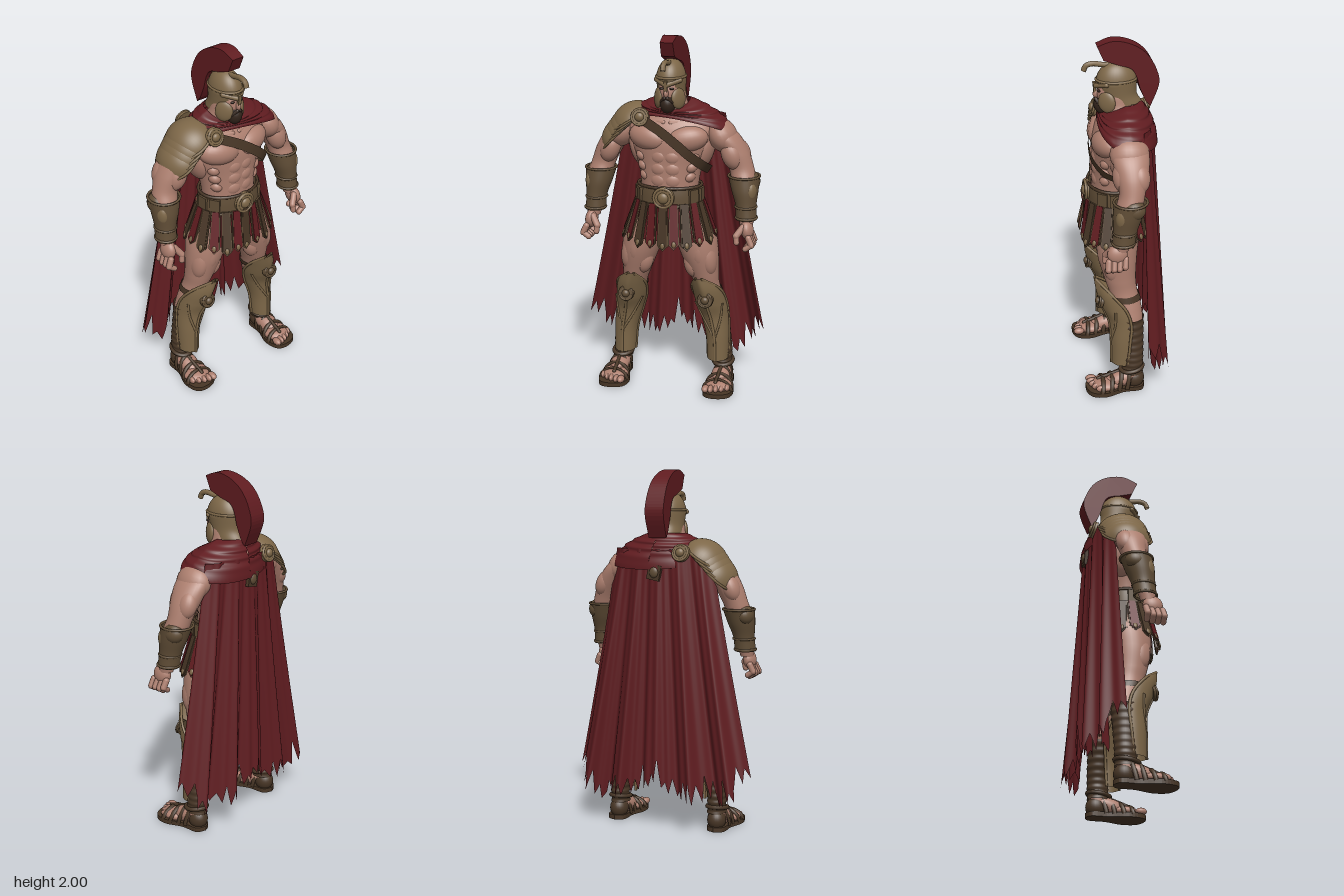
import * as THREE from 'three';
import { ParametricGeometry } from 'three/addons/geometries/ParametricGeometry.js';

const PI = Math.PI;
const mat = (name, color, side = THREE.DoubleSide) => {
  const m = new THREE.MeshStandardMaterial({ color, side });
  m.name = name;
  return m;
};
const rand = (i) => { const v = Math.sin(i * 12.9898) * 43758.5453; return v - Math.floor(v); };

export function createModel() {
  const root = new THREE.Group();
  const skin = mat('skin', 0xad7f6f, THREE.FrontSide), red = mat('crimson cloth', 0x601c20);
  const bronze = mat('bronze', 0x7d6748), darkBronze = mat('dark bronze', 0x604d36);
  const leather = mat('leather', 0x483626), hair = mat('dark hair', 0x33251c);

  const add = (name, geo, m, pos = [0, 0, 0], rot = [0, 0, 0], scale = [1, 1, 1], parent = root) => {
    const mesh = new THREE.Mesh(geo, m);
    mesh.name = name;
    mesh.position.set(...pos);
    mesh.rotation.set(...rot);
    mesh.scale.set(...scale);
    parent.add(mesh);
    return mesh;
  };
  const blob = (name, m, pos, r, rot) => add(name, new THREE.SphereGeometry(1, 24, 16), m, pos, rot, r);
  const surface = (name, m, fn, nu, nv) => add(name, new ParametricGeometry((u, v, t) => t.set(...fn(u, v)), nu, nv), m);
  // skin of elliptical sections [x, y, z, rx, rz, share of the arc], listed from bottom to top
  const loft = (name, m, rings, { arc = PI, mid = 0, shape = () => 1, nu = 32, nv = rings.length * 5 } = {}) => {
    const c = new THREE.CatmullRomCurve3(rings.map((r) => new THREE.Vector3(r[0], r[1], r[2])), false, 'catmullrom');
    const s = new THREE.CatmullRomCurve3(rings.map((r) => new THREE.Vector3(r[3], r[4], r[5] ?? 1)), false, 'catmullrom');
    return surface(name, m, (u, v) => {
      const p = c.getPoint(v), r = s.getPoint(v), a = mid + arc * (2 * u - 1) * r.z, k = shape(a, v);
      return [p.x + Math.sin(a) * r.x * k, p.y, p.z + Math.cos(a) * r.y * k];
    }, nu, nv);
  };
  const capsule = (name, m, a, b, r) => {
    const p = new THREE.Vector3(...a), d = new THREE.Vector3(...b).sub(p), len = d.length();
    const mesh = add(name, new THREE.CapsuleGeometry(r, len, 5, 12), m, p.clone().addScaledVector(d, 0.5).toArray());
    mesh.quaternion.setFromUnitVectors(new THREE.Vector3(0, 1, 0), d.normalize());
  };
  const tube = (name, m, pts, r) => add(name, new THREE.TubeGeometry(
    new THREE.CatmullRomCurve3(pts.map((p) => new THREE.Vector3(...p))), 24, r, 8), m);
  // round badge facing along z
  const badge = (name, m, x, y, z, r, dir = 1, tilt = 0) => {
    add(name, new THREE.CylinderGeometry(r * 0.85, r, 0.025, 24), m, [x, y, z], [dir * PI / 2 - tilt, 0, 0]);
    add(name + 'Rim', new THREE.TorusGeometry(r * 0.85, r * 0.14, 8, 24), m, [x, y, z + dir * 0.008], [-tilt, 0, 0]);
    blob(name + 'Boss', m, [x, y, z + dir * 0.012], [r * 0.5, r * 0.5, 0.018]);
  };

  // torso and neck
  loft('torso', skin, [[0, 0.92, 0.03, 0.16, 0.11], [0, 1.05, 0.045, 0.165, 0.12], [0, 1.18, 0.045, 0.162, 0.118],
    [0, 1.3, 0.035, 0.184, 0.126], [0, 1.42, 0.025, 0.23, 0.135], [0, 1.5, 0.01, 0.245, 0.13],
    [0, 1.57, 0, 0.19, 0.1], [0, 1.62, 0.01, 0.1, 0.085], [0, 1.7, 0.025, 0.075, 0.075]], { nu: 40 });
  for (const s of [-1, 1]) {
    blob('pectoral', skin, [s * 0.108, 1.45, 0.1], [0.118, 0.074, 0.068], [0, s * 0.25, s * 0.15]);
    blob('lat', skin, [s * 0.185, 1.38, 0], [0.055, 0.12, 0.09], [0, 0, -s * 0.25]);
    blob('trapezius', skin, [s * 0.09, 1.575, 0.005], [0.12, 0.045, 0.08], [0, 0, -s * 0.45]);
    capsule('collarbone', skin, [s * 0.02, 1.535, 0.108], [s * 0.17, 1.545, 0.07], 0.014);
    [1.352, 1.285, 1.22].forEach((y) => blob('abdominal', skin, [s * 0.041, y, 0.143], [0.045, 0.04, 0.022], [0, s * 0.2, 0]));
    for (let i = 0; i < 3; i++)
      blob('oblique', skin, [s * (0.115 + i * 0.011), 1.24 + i * 0.055, 0.09], [0.042, 0.035, 0.045], [0, s * 0.5, s * 0.5]);

    // arm
    loft('arm', skin, [[0.44, 0.98, 0.07, 0.036, 0.042], [0.43, 1.12, 0.045, 0.055, 0.055], [0.412, 1.22, 0.02, 0.068, 0.07],
      [0.392, 1.29, 0.002, 0.07, 0.07], [0.352, 1.38, -0.005, 0.078, 0.088], [0.298, 1.465, -0.005, 0.076, 0.098],
      [0.245, 1.535, -0.01, 0.045, 0.065]].map((r) => [r[0] * s, ...r.slice(1)]));
    blob('deltoid', skin, [s * 0.285, 1.46, -0.002], [0.078, 0.098, 0.106], [0, 0, s * 0.5]);
    blob('biceps', skin, [s * 0.345, 1.365, 0.045], [0.056, 0.085, 0.055], [0, 0, s * 0.35]);
    blob('triceps', skin, [s * 0.382, 1.365, -0.04], [0.05, 0.08, 0.055], [0, 0, s * 0.4]);

    // bracer
    loft('bracer', darkBronze, [[0.435, 1.01, 0.055, 0.058, 0.062], [0.43, 1.09, 0.045, 0.058, 0.065],
      [0.42, 1.17, 0.03, 0.075, 0.08], [0.41, 1.25, 0.012, 0.088, 0.088]].map((r) => [r[0] * s, ...r.slice(1)]));
    [[0.435, 1.02, 0.055, 0.058], [0.43, 1.08, 0.047, 0.058], [0.411, 1.245, 0.013, 0.086]].forEach(
      ([x, y, z, r]) => add('bracerBand', new THREE.TorusGeometry(r, 0.007, 8, 28), darkBronze, [s * x, y, z], [PI / 2, 0, 0], [1, 1.04, 1]));
    blob('elbowGuard', darkBronze, [s * 0.452, 1.215, 0], [0.046, 0.055, 0.06], [0, 0, s * 0.2]);
    blob('bracerPlate', bronze, [s * 0.455, 1.16, 0.045], [0.035, 0.075, 0.055], [0.15, 0, s * -0.1]);

    // hand
    blob('palm', skin, [s * 0.448, 0.96, 0.09], [0.035, 0.055, 0.055], [0, 0, s * 0.15]);
    for (let i = 0; i < 4; i++) {
      const z = 0.048 + i * 0.03, y = i ? 0.925 : 0.935;
      capsule('finger', skin, [s * 0.465, y, z], [s * 0.482, y - 0.038, z + 0.005], 0.018);
      capsule('fingerTip', skin, [s * 0.482, y - 0.038, z + 0.005], [s * 0.45, y - 0.06, z + 0.008], 0.016);
    }
    capsule('thumb', skin, [s * 0.43, 0.98, 0.12], [s * 0.398, 0.935, 0.145], 0.019);
    capsule('thumbTip', skin, [s * 0.398, 0.935, 0.145], [s * 0.402, 0.9, 0.15], 0.016);

    // leg
    loft('leg', skin, [[0.305, 0.06, -0.02, 0.045, 0.05], [0.3, 0.2, -0.022, 0.045, 0.052], [0.265, 0.4, -0.015, 0.064, 0.07],
      [0.238, 0.5, -0.005, 0.07, 0.076], [0.212, 0.6, 0.02, 0.07, 0.08], [0.195, 0.68, 0.035, 0.084, 0.09],
      [0.17, 0.8, 0.045, 0.108, 0.11], [0.14, 0.92, 0.04, 0.12, 0.12], [0.11, 1.02, 0.04, 0.1, 0.11]].map((r) => [r[0] * s, ...r.slice(1)]));
    blob('innerThigh', skin, [s * 0.14, 0.735, 0.08], [0.05, 0.08, 0.05], [0, 0, s * 0.2]);
    blob('outerThigh', skin, [s * 0.225, 0.78, 0.075], [0.05, 0.11, 0.062], [0, 0, s * 0.15]);
    blob('frontThigh', skin, [s * 0.175, 0.83, 0.1], [0.055, 0.12, 0.058], [0, 0, s * 0.15]);

    // calf wraps and knee strap
    loft('calfWrap', leather, [[0.3, 0.1, -0.02, 0.052, 0.06], [0.3, 0.2, -0.022, 0.052, 0.06], [0.28, 0.32, -0.018, 0.06, 0.068],
      [0.258, 0.45, -0.01, 0.073, 0.08]].map((r) => [r[0] * s, ...r.slice(1)]), { shape: (a, v) => 1 + 0.03 * Math.cos(v * 18 * PI), nv: 72 });
    loft('kneeStrap', leather, [[0.224, 0.55, 0.01, 0.077, 0.088], [0.216, 0.585, 0.02, 0.077, 0.088]].map((r) => [r[0] * s, ...r.slice(1)]));

    // greave narrowing to a point over the knee, with raised edges and ridge
    const greave = [[0.277, 0.16, 0.02, 0.06, 0.072, 1], [0.272, 0.3, 0.012, 0.066, 0.08, 1], [0.252, 0.42, 0.005, 0.079, 0.094, 1],
      [0.234, 0.51, 0.022, 0.087, 0.112, 0.95], [0.218, 0.6, 0.045, 0.086, 0.118, 0.72], [0.195, 0.68, 0.07, 0.075, 0.106, 0.12]].map((r) => [r[0] * s, ...r.slice(1)]);
    loft('greave', bronze, greave, { arc: 0.56 * PI, shape: (a) => 1 + 0.07 * Math.exp(-a * a * 14) });
    const edge = (a, k) => greave.map((r) => [r[0] + Math.sin(a * r[5]) * r[3] * k, r[1], r[2] + Math.cos(a * r[5]) * r[4] * k]);
    [-0.55, 0.55].forEach((a) => tube('greaveEdge', bronze, edge(a * PI, 1.01), 0.008));
    tube('shinRidge', bronze, edge(0, 1.07).slice(0, 4), 0.008);
    [-1, 1].forEach((k) => tube('shinMoulding', bronze, [edge(0, 1.06)[1], edge(k * 0.22 * PI, 1.01)[2], edge(k * 0.36 * PI, 1.01)[3]], 0.007));
    badge('kneeBadge', darkBronze, s * 0.23, 0.55, 0.152, 0.045, 1, 0.2);

    // sandal and foot
    const sole = new THREE.Shape().setFromPoints(new THREE.SplineCurve([[0, -0.09], [0.05, -0.06], [0.055, 0.04], [0.088, 0.14],
      [0.07, 0.22], [0, 0.25], [-0.065, 0.23], [-0.085, 0.14], [-0.055, 0.04], [-0.05, -0.06], [0, -0.09]].map((p) => new THREE.Vector2(...p))).getPoints(60));
    add('sole', new THREE.ExtrudeGeometry(sole, { depth: 0.026, bevelEnabled: false }), leather, [s * 0.308, 0.026, 0], [PI / 2, 0, 0]);
    blob('heel', leather, [s * 0.305, 0.06, -0.03], [0.053, 0.06, 0.058]);
    blob('instep', skin, [s * 0.305, 0.065, 0.05], [0.056, 0.05, 0.11], [0.3, 0, 0]);
    blob('forefoot', skin, [s * 0.308, 0.042, 0.13], [0.076, 0.035, 0.085]);
    for (let i = 0; i < 5; i++)
      blob('toe', skin, [s * (0.25 + i * 0.029), 0.042, 0.215 - i * i * 0.003], [i ? 0.015 : 0.021, 0.02, 0.032]);
    [[0.02, 0.056, 0.112], [0.065, 0.06, 0.098], [0.115, 0.075, 0.075], [0.165, 0.08, 0.06]].forEach(([z, rx, ry]) =>
      add('sandalStrap', new THREE.TorusGeometry(1, 0.13, 8, 24, PI), leather, [s * 0.308, 0.018, z], [-0.2, 0, 0], [rx, ry, 0.1]));
    capsule('sandalThong', leather, [s * 0.305, 0.115, 0.05], [s * 0.3, 0.07, 0.18], 0.01);
    add('ankleStrap', new THREE.TorusGeometry(0.055, 0.012, 8, 24), leather, [s * 0.302, 0.13, -0.015], [PI / 2 + 0.15, 0, 0], [1, 1.15, 1]);
  }

  // skirt with hanging strips, cloth and leather in turn
  loft('skirt', red, [[0, 0.885, 0.045, 0.252, 0.15], [0, 1, 0.045, 0.218, 0.145], [0, 1.12, 0.045, 0.178, 0.138]],
    { shape: (a, v) => 1 + 0.03 * (1 - v) * Math.cos(20 * a), nu: 110 });
  const strip = (w, l) => new THREE.ExtrudeGeometry(new THREE.Shape([[-w * 0.75, 0], [-w, -l], [0, -l - w], [w, -l], [w * 0.75, 0]]
    .map((p) => new THREE.Vector2(...p))), { depth: 0.008, bevelEnabled: false });
  for (let i = 0; i < 20; i++) {
    const a = (i / 20) * 2 * PI, x = 0.185 * Math.sin(a), z = 0.146 * Math.cos(a);
    const g = new THREE.Group();
    g.name = 'skirtStrip';
    g.position.set(x, 1.1, 0.046 + z);
    g.rotation.set(-0.05 - 0.3 * Math.abs(Math.sin(a)), Math.atan2(x / 0.034, z / 0.022), 0, 'YXZ');
    const l = 0.205 + 0.03 * Math.max(0, Math.cos(a)) - (i % 2) * 0.012;
    add('stripBorder', strip(0.032, l), darkBronze, [0, 0, 0], [0, 0, 0], [1, 1, 1], g);
    add('stripFace', strip(0.025, l), i % 2 ? red : leather, [0, 0, 0.004], [0, 0, 0], [1, 1, 1], g);
    add('stripStud', new THREE.SphereGeometry(0.013, 12, 8), bronze, [0, -l, 0.01], [0, 0, 0], [1, 1.4, 0.6], g);
    root.add(g);
  }

  // belt and buckle
  loft('belt', darkBronze, [[0, 1.08, 0.046, 0.188, 0.145], [0, 1.14, 0.046, 0.184, 0.143], [0, 1.19, 0.046, 0.178, 0.137]], { nu: 48 });
  [[1.085, 0.187], [1.185, 0.178]].forEach(([y, r]) =>
    add('beltEdge', new THREE.TorusGeometry(r, 0.009, 8, 48), leather, [0, y, 0.046], [PI / 2, 0, 0], [1, 0.775, 1]));
  for (const a of [-1.5, -1, 1, 1.5])
    add('beltPlate', new THREE.BoxGeometry(0.06, 0.08, 0.018), darkBronze, [0.182 * Math.sin(a), 1.135, 0.046 + 0.143 * Math.cos(a)], [0, a, 0]);
  badge('buckle', bronze, 0, 1.135, 0.19, 0.062);

  // chest strap
  const path = new THREE.CatmullRomCurve3([[-0.15, 1.56, 0.12], [-0.02, 1.495, 0.162], [0.07, 1.435, 0.18], [0.14, 1.375, 0.17],
    [0.2, 1.315, 0.115], [0.222, 1.27, 0.02]].map((p) => new THREE.Vector3(...p)));
  surface('chestStrap', leather, (u, v) => { const p = path.getPoint(u); return [p.x + (v - 0.5) * 0.03, p.y + (v - 0.5) * 0.045, p.z + 0.006]; }, 40, 2);

  // head, beard and face
  blob('head', skin, [0, 1.7, 0.035], [0.068, 0.1, 0.094]);
  blob('nose', skin, [0, 1.7, 0.13], [0.013, 0.024, 0.02]);
  blob('beard', hair, [0, 1.638, 0.095], [0.042, 0.056, 0.05], [0.2, 0, 0]);
  for (const s of [-1, 1]) {
    capsule('moustache', hair, [s * 0.008, 1.675, 0.135], [s * 0.03, 1.652, 0.118], 0.01);
    blob('eye', hair, [s * 0.028, 1.725, 0.12], [0.013, 0.006, 0.008]);
    blob('cheekGuard', bronze, [s * 0.056, 1.668, 0.082], [0.019, 0.058, 0.05], [0.15, -s * 0.55, s * 0.15]);
    capsule('helmetBrow', bronze, [s * 0.008, 1.748, 0.132], [s * 0.066, 1.768, 0.085], 0.014);
  }

  // helmet
  add('helmetDome', new THREE.SphereGeometry(1, 32, 16, 0, 2 * PI, 0, PI / 2), bronze, [0, 1.76, 0.022], [0, 0, 0], [0.081, 0.118, 0.11]);
  loft('helmetSides', bronze, [[0, 1.65, -0.006, 0.079, 0.108], [0, 1.7, 0.01, 0.077, 0.098], [0, 1.77, 0.02, 0.081, 0.11]], { arc: 0.82 * PI, mid: PI });
  add('helmetBand', new THREE.TorusGeometry(0.079, 0.007, 8, 40), bronze, [0, 1.78, 0.022], [PI / 2, 0, 0], [1, 1.36, 1]);
  add('noseGuard', new THREE.BoxGeometry(0.018, 0.06, 0.014), bronze, [0, 1.738, 0.14], [0.1, 0, 0]);
  tube('helmetHook', bronze, [[0, 1.855, 0.04], [0, 1.862, 0.1], [0, 1.87, 0.15], [0, 1.86, 0.184], [0, 1.832, 0.198]], 0.015);

  // crest, wider towards the back
  const outer = new THREE.SplineCurve([[0.128, 1.972], [0.04, 2], [-0.06, 1.978], [-0.14, 1.92], [-0.19, 1.83], [-0.2, 1.75], [-0.155, 1.63]].map((p) => new THREE.Vector2(...p)));
  const inner = new THREE.SplineCurve([[-0.13, 1.66], [-0.1, 1.73], [-0.08, 1.8], [-0.05, 1.845], [0.02, 1.868], [0.095, 1.895]].map((p) => new THREE.Vector2(...p)));
  const crest = new THREE.ExtrudeGeometry(new THREE.Shape([...outer.getPoints(30), ...inner.getPoints(20)]), { depth: 2, bevelEnabled: false });
  crest.translate(0, 0, -1).rotateY(-PI / 2);
  const cp = crest.attributes.position;
  for (let i = 0; i < cp.count; i++) cp.setX(i, cp.getX(i) * (0.043 - 0.06 * cp.getZ(i)));
  crest.computeVertexNormals();
  add('crest', crest, red);

  // mantle wound round the shoulders, open towards the right of the chest
  surface('mantle', red, (u, v) => {
    const a = (u * 2 - 1) * PI, sx = Math.sin(a), cz = Math.cos(a), open = Math.max(0, Math.cos(a + 0.5));
    const low = 1.5 + 0.03 * Math.max(0, cz) + 0.04 * open - 0.04 * Math.max(0, -cz) - 0.01 * sx;
    const top = 1.655 - 0.05 * Math.max(0, cz), e = Math.pow(1 - v, 0.8);
    const fold = 1 + 0.03 * Math.sin(v * 26 + a * 1.5) * Math.sin(v * PI);
    const rx = (0.1 + 0.192 * e) * fold, rz = (0.1 + (cz > 0 ? 0.085 - 0.05 * open : 0.085) * e) * fold;
    return [0.042 * e + sx * rx, low + (top - low) * Math.pow(v, 0.55), -0.005 + cz * rz];
  }, 72, 32);

  // cape with deep folds and a torn hem
  const hem = (s) => {
    const k = (s + 1) * 28, i = Math.floor(k), f = k - i;
    const j = (n) => (n % 2 ? 0.13 : 0.02) * rand(n + 3) + (n % 2 ? 0.03 : 0);
    const q = Math.abs(s), base = 0.27 - 0.1 * Math.sin(Math.min(q, 0.8) * PI / 0.8) + (q > 0.85 ? (q - 0.85) * 0.3 : 0) - (q > 0.6 && q < 0.85 ? 0.08 : 0);
    return base + j(i) * (1 - f) + j(i + 1) * f;
  };
  surface('cape', red, (u, v) => {
    const s = 1 - 2 * u, h = hem(s), y = h + (1.57 - h) * v, t = Math.max(0, (1.57 - y) / 1.3);
    const fold = (0.4 + 0.6 * Math.min(1, Math.abs(s) * 2.5)) * Math.cos(s * 5 * PI) + 0.2 * Math.cos(s * 15 * PI + 1);
    return [s * (0.285 + 0.25 * Math.pow(t, 1.1)), y, -0.165 - 0.03 * t - (0.007 + 0.036 * t) * fold + s * s * (0.08 * (1 - t) + 0.075 * t)];
  }, 224, 40);
  add('capeEmblem', new THREE.BoxGeometry(0.075, 0.085, 0.02), leather, [0.01, 1.445, -0.176], [0, 0, 0.2]);
  blob('capeEmblemBoss', darkBronze, [0.01, 1.445, -0.184], [0.026, 0.03, 0.014]);

  // layered shoulder guard with its two badges
  for (let k = 0; k < 4; k++) {
    const tilt = 0.56 + 0.07 * k, r = [0.142 - 0.002 * k, 0.132 - 0.001 * k, 0.15 - 0.002 * k];
    const x = -0.208 - 0.022 * k, y = 1.492 - 0.028 * k;
    add('shoulderPlate', new THREE.SphereGeometry(1, 40, 14, 0, 2 * PI, 0, 0.4 * PI), bronze, [x, y, -0.01], [0, 0, tilt], r);
    add('shoulderPlateEdge', new THREE.TorusGeometry(0.965, 0.055, 6, 40).rotateX(PI / 2), bronze,
      [x - 0.04 * Math.sin(tilt), y + 0.04 * Math.cos(tilt), -0.01], [0, 0, tilt], r);
  }
  badge('frontShoulderBadge', bronze, -0.15, 1.565, 0.122, 0.052, 1, 0.3);
  badge('backShoulderBadge', bronze, -0.14, 1.555, -0.162, 0.05, -1, -0.3);
  return root;
}
